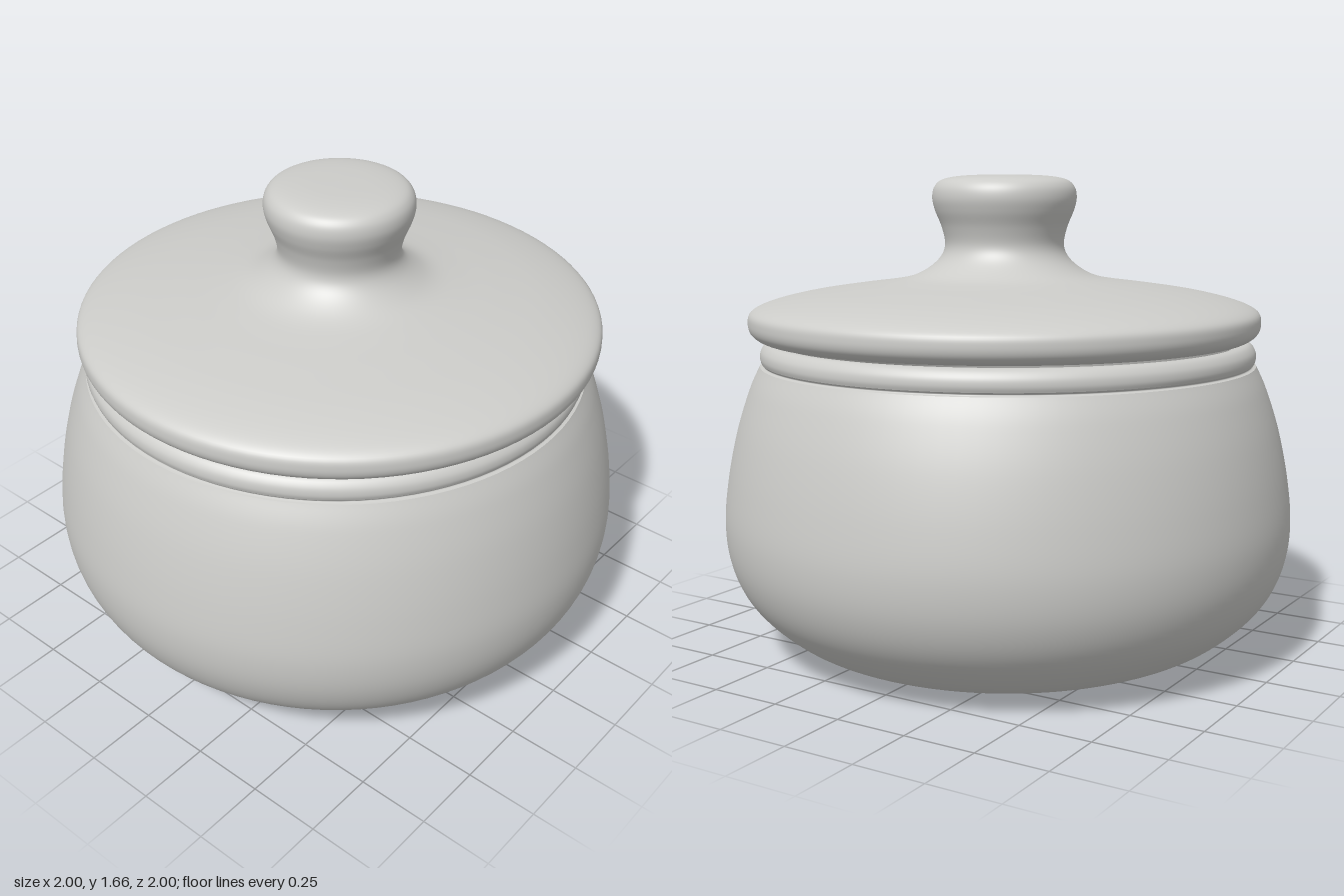
import * as THREE from 'three';

const SEGMENTS = 96;

// Smooth run through profile points given as [radius, height]
function smooth(points, divisions) {
  return new THREE.SplineCurve(points.map(([r, y]) => new THREE.Vector2(r, y)))
    .getPoints(divisions)
    .map((p) => new THREE.Vector2(Math.max(p.x, 0), p.y));
}

// Each run is its own lathe, so the edges between runs stay crisp
function turned(name, runs, material) {
  const group = new THREE.Group();
  group.name = name;
  for (const [part, points, divisions] of runs) {
    const mesh = new THREE.Mesh(new THREE.LatheGeometry(smooth(points, divisions), SEGMENTS), material);
    mesh.name = part;
    group.add(mesh);
  }
  return group;
}

export function createModel() {
  const model = new THREE.Group();
  model.name = 'lidded pot';
  const ceramic = new THREE.MeshStandardMaterial({ color: 0xccccc9 });
  ceramic.name = 'grey ceramic';

  // Bellied pot with a shallow foot recess, a collar and a hollow inside
  model.add(turned('pot', [
    ['footAndBelly', [
      [0, 0.02], [0.3, 0.02], [0.42, 0.015], [0.5, 0.002], [0.6, 0], [0.7, 0.025], [0.81, 0.085],
      [0.92, 0.19], [0.98, 0.31], [1, 0.45], [0.985, 0.61], [0.95, 0.78], [0.905, 0.92], [0.868, 1.0],
    ], 90],
    ['collarGroove', [[0.868, 1.0], [0.856, 1.004], [0.862, 1.012]], 6],
    ['collar', [
      [0.862, 1.012], [0.867, 1.03], [0.863, 1.055], [0.845, 1.077], [0.82, 1.082], [0.79, 1.07],
    ], 24],
    ['inside', [
      [0.79, 1.07], [0.8, 1.0], [0.88, 0.78], [0.93, 0.45], [0.86, 0.22], [0.62, 0.08], [0.3, 0.07], [0, 0.07],
    ], 48],
  ], ceramic));

  // Domed lid running up into its knob, resting slightly off centre
  const lid = turned('lid', [
    ['lidUnderside', [
      [0, 1.23], [0.4, 1.21], [0.7, 1.15], [0.76, 1.1], [0.8, 1.088],
    ], 30],
    ['lidRimAndKnob', [
      [0.8, 1.088], [0.85, 1.092], [0.884, 1.115], [0.894, 1.15], [0.882, 1.187], [0.82, 1.216],
      [0.7, 1.245], [0.55, 1.268], [0.42, 1.285], [0.33, 1.302], [0.27, 1.33], [0.225, 1.37],
      [0.208, 1.415], [0.22, 1.475], [0.242, 1.53], [0.252, 1.575], [0.243, 1.615],
      [0.21, 1.64], [0.13, 1.652], [0, 1.655],
    ], 120],
  ], ceramic);
  lid.position.set(0.012, 0, -0.004);
  model.add(lid);

  return model;
}
